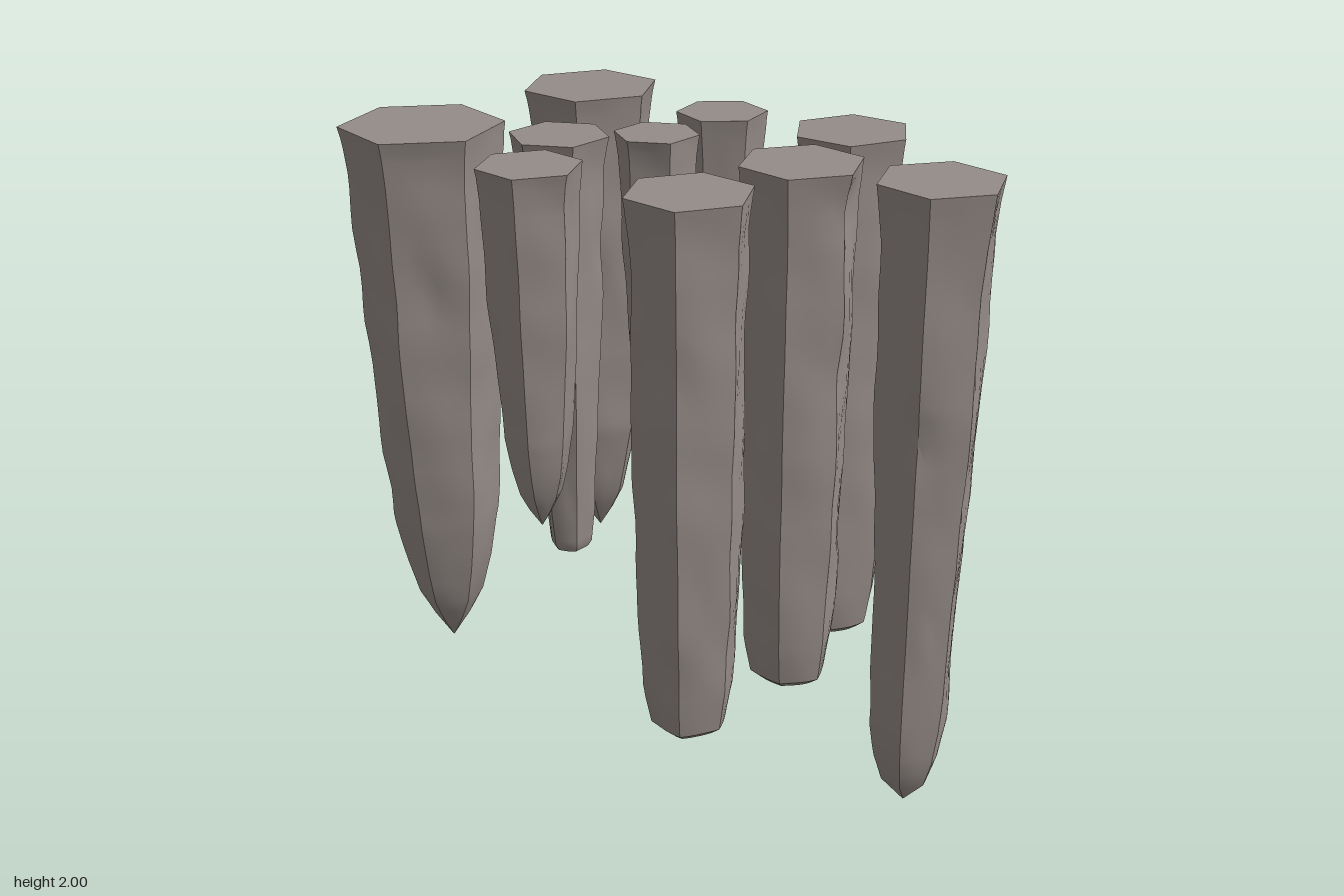
import * as THREE from 'three';
import { toCreasedNormals } from 'three/addons/utils/BufferGeometryUtils.js';

// [share of length above the tip, share of top radius]
const POINTED = [[0, 0], [0.05, 0.24], [0.1, 0.43], [0.17, 0.56], [0.27, 0.69], [0.45, 0.78], [0.65, 0.86], [0.92, 0.92], [0.98, 0.97], [1, 1]];
const LONG = [[0, 0], [0.045, 0.42], [0.09, 0.57], [0.15, 0.68], [0.38, 0.74], [0.7, 0.86], [0.92, 0.9], [0.98, 0.97], [1, 1]];
const BLUNT = [[0, 0], [0.004, 0.5], [0.02, 0.67], [0.1, 0.79], [0.25, 0.86], [0.6, 0.91], [0.93, 0.93], [0.985, 0.98], [1, 1]];
const SLIM_BLUNT = [[0, 0], [0.005, 0.38], [0.02, 0.46], [0.1, 0.54], [0.4, 0.69], [0.7, 0.82], [0.93, 0.9], [0.985, 0.97], [1, 1]];

// x, z, top radius, turn of the first corner in degrees, tip height, top height, profile
const COLUMNS = [
  [-0.68, 0.375, 0.24, 11, 0.3, 2, POINTED],
  [-0.63, -0.275, 0.212, -1, 0.47, 2, POINTED],
  [-0.17, -0.36, 0.137, 17, 0.49, 1.98, POINTED],
  [0.25, -0.44, 0.178, -5, 0.35, 1.98, BLUNT],
  [0.722, -0.195, 0.182, 6, 0, 1.98, LONG],
  [0.34, -0.087, 0.18, 4, 0.35, 1.98, BLUNT],
  [-0.155, -0.05, 0.126, 30, 1.08, 1.98, POINTED],
  [-0.355, 0.145, 0.148, 30, 0.65, 1.98, SLIM_BLUNT],
  [-0.15, 0.466, 0.148, 2, 0.92, 2, POINTED],
  [0.29, 0.322, 0.18, 1, 0.35, 1.98, BLUNT],
];

function seeded(seed) {
  let s = seed * 7919 + 17;
  return () => (s = (s * 16807) % 2147483647) / 2147483647;
}

function sample(profile, t) {
  const i = Math.max(1, profile.findIndex((p) => p[0] >= t - 1e-9));
  const [a, b] = [profile[i - 1], profile[i]];
  return THREE.MathUtils.lerp(a[1], b[1], (t - a[0]) / (b[0] - a[0]));
}

// Six-sided shaft with dents and ripples, closed at the top and the tip
function columnGeometry(radius, turn, low, high, profile, seed) {
  const random = seeded(seed);
  random();
  const sides = 30;
  const length = high - low;
  const steps = new Set(profile.map((p) => p[0]));
  for (let k = 1; k < 28; k++) {
    const t = k / 28;
    if (profile.every((p) => Math.abs(p[0] - t) > 0.015)) steps.add(t);
  }
  const levels = [...steps].sort((a, b) => a - b);
  const phases = Array.from({ length: 4 }, () => random() * Math.PI * 2);
  const dents = Array.from({ length: 14 }, () => ({
    angle: random() * Math.PI * 2,
    y: low + length * (0.1 + 0.82 * random()),
    size: 0.04 + 0.05 * random(),
    depth: (random() - 0.7) * 0.14,
  }));

  // Change of radius at an angle and height
  const relief = (a, y) => {
    let n = 0.018 * Math.sin(2 * a + 5 * y + phases[0]) + 0.014 * Math.sin(3 * a - 9 * y + phases[1])
      + 0.01 * Math.sin(5 * a + 17 * y + phases[2]) + 0.008 * Math.sin(a - 27 * y + phases[3]);
    for (const d of dents) {
      const da = Math.atan2(Math.sin(a - d.angle), Math.cos(a - d.angle)) * radius;
      const dy = (y - d.y) * 0.7;
      n += d.depth * Math.exp(-(da * da + dy * dy) / (d.size * d.size));
    }
    return n;
  };

  const positions = [];
  const index = [];
  const corner = Math.PI / 3;
  for (const t of levels) {
    const y = low + length * t;
    const r = radius * sample(profile, t);
    const hexShare = THREE.MathUtils.lerp(0.65, 1, t);
    const rough = THREE.MathUtils.smoothstep(1 - t, 0, 0.06);
    for (let j = 0; j < sides; j++) {
      const a = (j / sides) * Math.PI * 2;
      const hex = Math.cos(corner / 2) / Math.cos((a % corner) - corner / 2);
      const rr = r * (THREE.MathUtils.lerp(0.96, hex, hexShare) + rough * relief(a, y));
      const b = a + THREE.MathUtils.degToRad(turn);
      positions.push(Math.cos(b) * rr, y, Math.sin(b) * rr);
    }
  }
  for (let i = 0; i < levels.length - 1; i++) {
    for (let j = 0; j < sides; j++) {
      const a = i * sides + j;
      const b = i * sides + ((j + 1) % sides);
      if (i > 0) index.push(a, b + sides, b);
      index.push(a, a + sides, b + sides);
    }
  }
  // Flat top
  const centre = positions.length / 3;
  positions.push(0, high, 0);
  const last = (levels.length - 1) * sides;
  for (let j = 0; j < sides; j++) index.push(centre, last + ((j + 1) % sides), last + j);

  const geometry = new THREE.BufferGeometry();
  geometry.setAttribute('position', new THREE.Float32BufferAttribute(positions, 3));
  geometry.setIndex(index);
  return toCreasedNormals(geometry, 0.6);
}

export function createModel() {
  const group = new THREE.Group();
  group.name = 'stalactites';
  const stone = new THREE.MeshStandardMaterial({ color: 0x958c88 });
  stone.name = 'greyStone';
  COLUMNS.forEach(([x, z, radius, turn, low, high, profile], i) => {
    const mesh = new THREE.Mesh(columnGeometry(radius, turn, low, high, profile, i + 1), stone);
    mesh.name = `stalactite${i + 1}`;
    mesh.position.set(x, 0, z);
    group.add(mesh);
  });
  return group;
}
